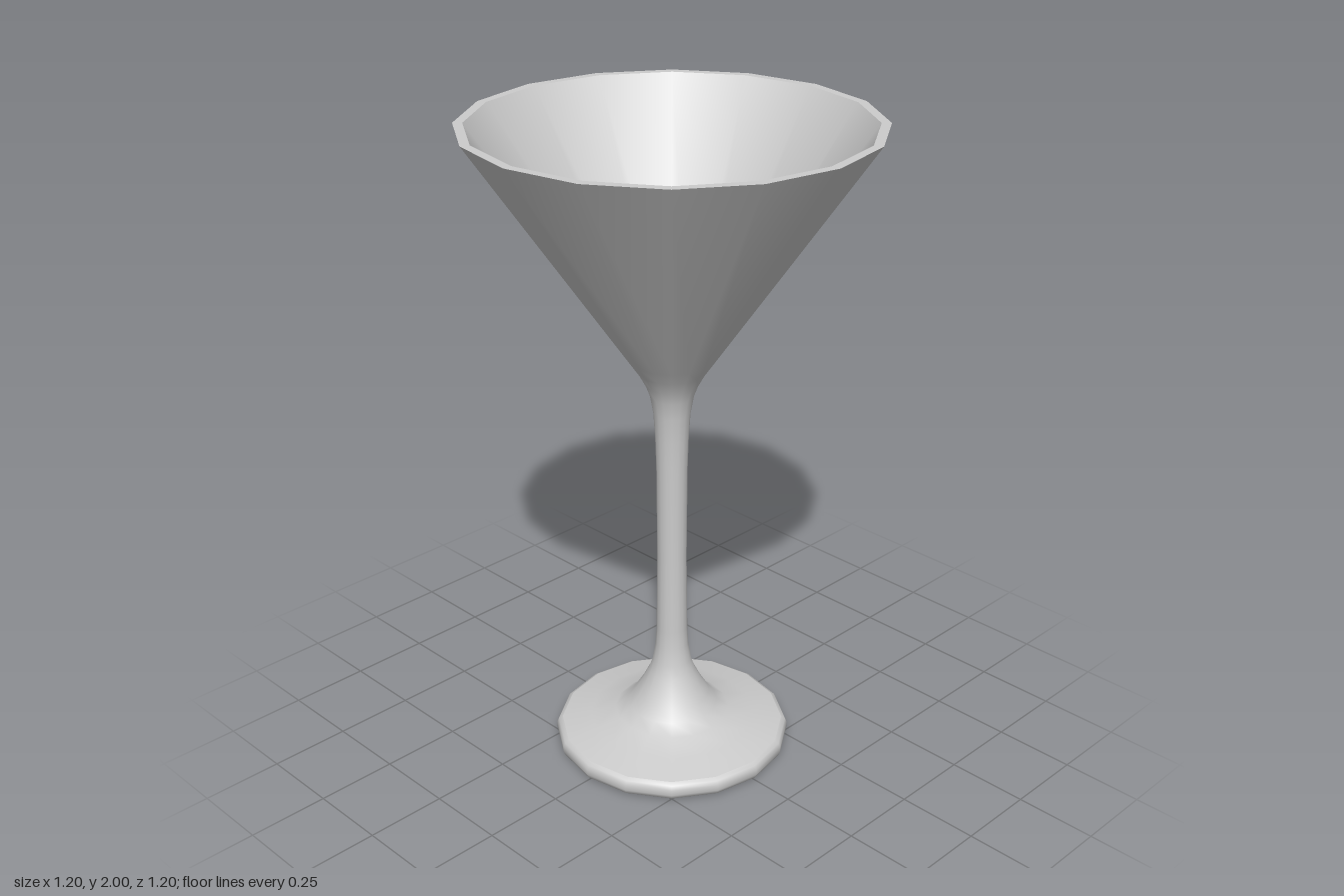
import * as THREE from 'three';

const SIDES = 16;

export function createModel() {
  const model = new THREE.Group();
  model.name = 'cocktailGlass';
  const material = new THREE.MeshStandardMaterial({ color: 0xcccccc });

  // Each section is its own lathe, so edges between sections stay sharp.
  function turn(name, profile) {
    const points = profile.map(([r, y]) => new THREE.Vector2(r, y));
    const mesh = new THREE.Mesh(new THREE.LatheGeometry(points, SIDES), material);
    mesh.name = name;
    model.add(mesh);
  }

  // Flat underside
  turn('footBottom', [[0, 0], [0.35, 0]]);

  // Rounded edge of the foot
  turn('footEdge', [[0.35, 0], [0.362, 0.008], [0.368, 0.022], [0.368, 0.04], [0.362, 0.053], [0.35, 0.06]]);

  // Foot top, stem and outside of the bowl in one sweep
  turn('stemAndBowl', [
    [0.35, 0.06], [0.26, 0.081], [0.18, 0.102], [0.143, 0.13], [0.118, 0.163],
    [0.095, 0.2], [0.073, 0.245], [0.06, 0.285], [0.051, 0.34], [0.048, 0.4],
    [0.045, 0.65], [0.047, 0.95], [0.05, 1.05], [0.055, 1.13], [0.065, 1.185],
    [0.08, 1.225], [0.102, 1.265], [0.13, 1.306], [0.6, 2],
  ]);

  // Flat rim
  turn('rim', [[0.6, 2], [0.572, 2]]);

  // Inside of the bowl with a rounded bottom
  turn('bowlInside', [[0.572, 2], [0.12, 1.333], [0.09, 1.293], [0.06, 1.262], [0.03, 1.245], [0, 1.24]]);

  return model;
}
